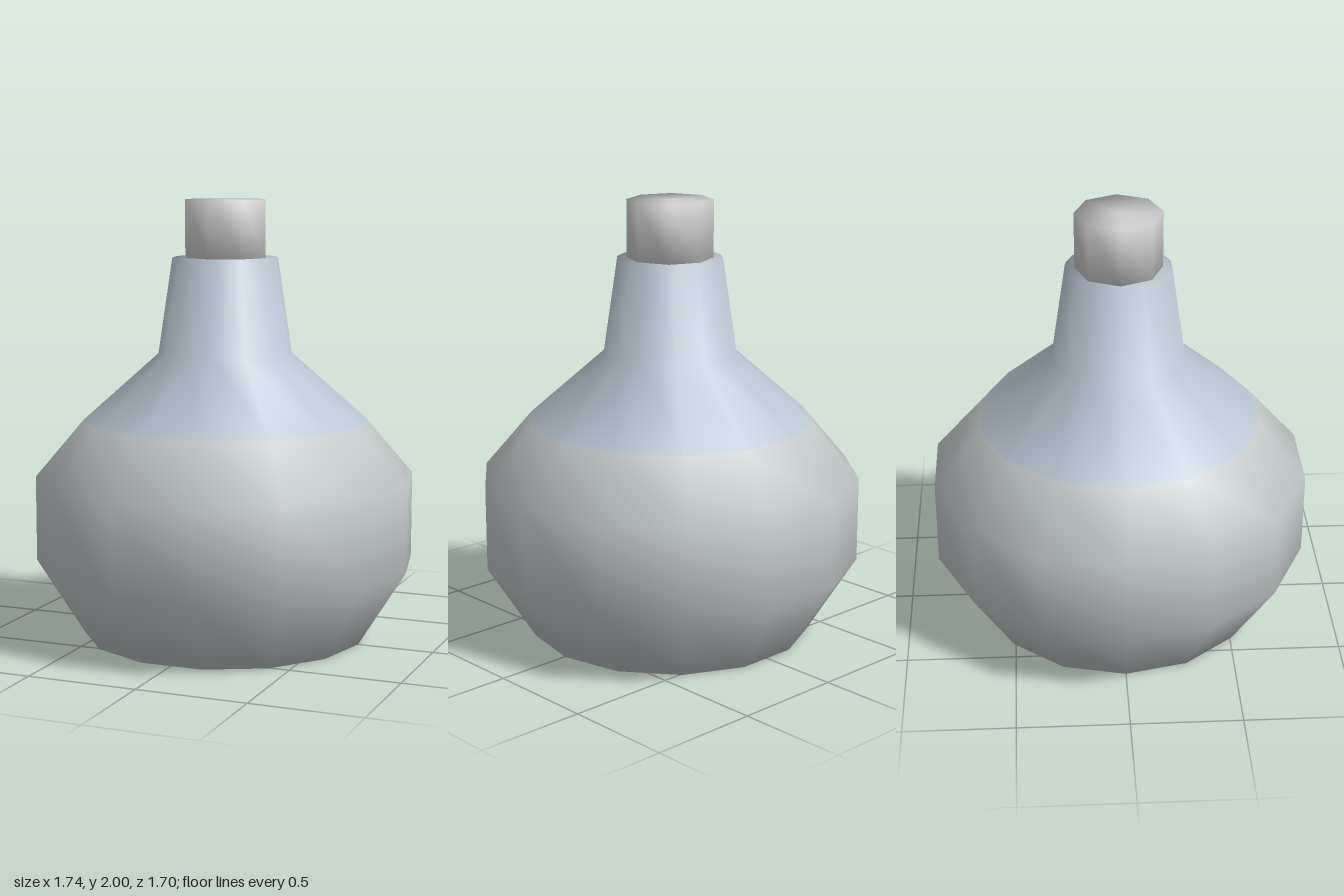
import * as THREE from 'three';
import { mergeVertices } from 'three/addons/utils/BufferGeometryUtils.js';

// Closed solid of revolution with one smooth normal per corner, caps included
function turned(profile, sides) {
  const points = profile.map(([r, y]) => new THREE.Vector2(r, y));
  const lathe = new THREE.LatheGeometry(points, sides, Math.PI / 2);
  lathe.deleteAttribute('normal');
  lathe.deleteAttribute('uv');
  const geometry = mergeVertices(lathe, 1e-4);
  // drop the collapsed triangles at the axis
  const src = geometry.index.array, kept = [];
  for (let i = 0; i < src.length; i += 3) {
    const [a, b, c] = [src[i], src[i + 1], src[i + 2]];
    if (a !== b && b !== c && a !== c) kept.push(a, b, c);
  }
  geometry.setIndex(kept);
  geometry.computeVertexNormals();
  return geometry;
}

// Keep the triangles whose centre height lies between two levels
function band(geometry, low, high) {
  const part = geometry.clone();
  const src = geometry.index.array, pos = geometry.attributes.position, kept = [];
  for (let i = 0; i < src.length; i += 3) {
    const tri = [src[i], src[i + 1], src[i + 2]];
    const y = tri.reduce((sum, v) => sum + pos.getY(v), 0) / 3;
    if (y >= low && y < high) kept.push(...tri);
  }
  part.setIndex(kept);
  return part;
}

export function createModel() {
  const group = new THREE.Group();
  const add = (name, geometry, color) => {
    const mesh = new THREE.Mesh(geometry, new THREE.MeshStandardMaterial({ color }));
    mesh.name = name;
    group.add(mesh);
  };

  // Flask: filled lower bowl and clear shoulder with neck, sharing normals at the fill line
  const fillLine = 1.0;
  const flask = turned([
    [0, 0], [0.65, 0], [0.87, 0.35], [0.87, 0.74], [0.65, fillLine],
    [0.305, 1.305], [0.24, 1.74], [0, 1.74],
  ], 14);
  add('filledBowl', band(flask, -1, fillLine), 0xc0c6c6);
  add('shoulderAndNeck', band(flask, fillLine, 3), 0xb8c4d0);

  // Eight-sided stopper standing on the neck
  add('stopper', turned([[0, 1.735], [0.195, 1.735], [0.195, 2], [0, 2]], 8), 0xcccccc);

  return group;
}
